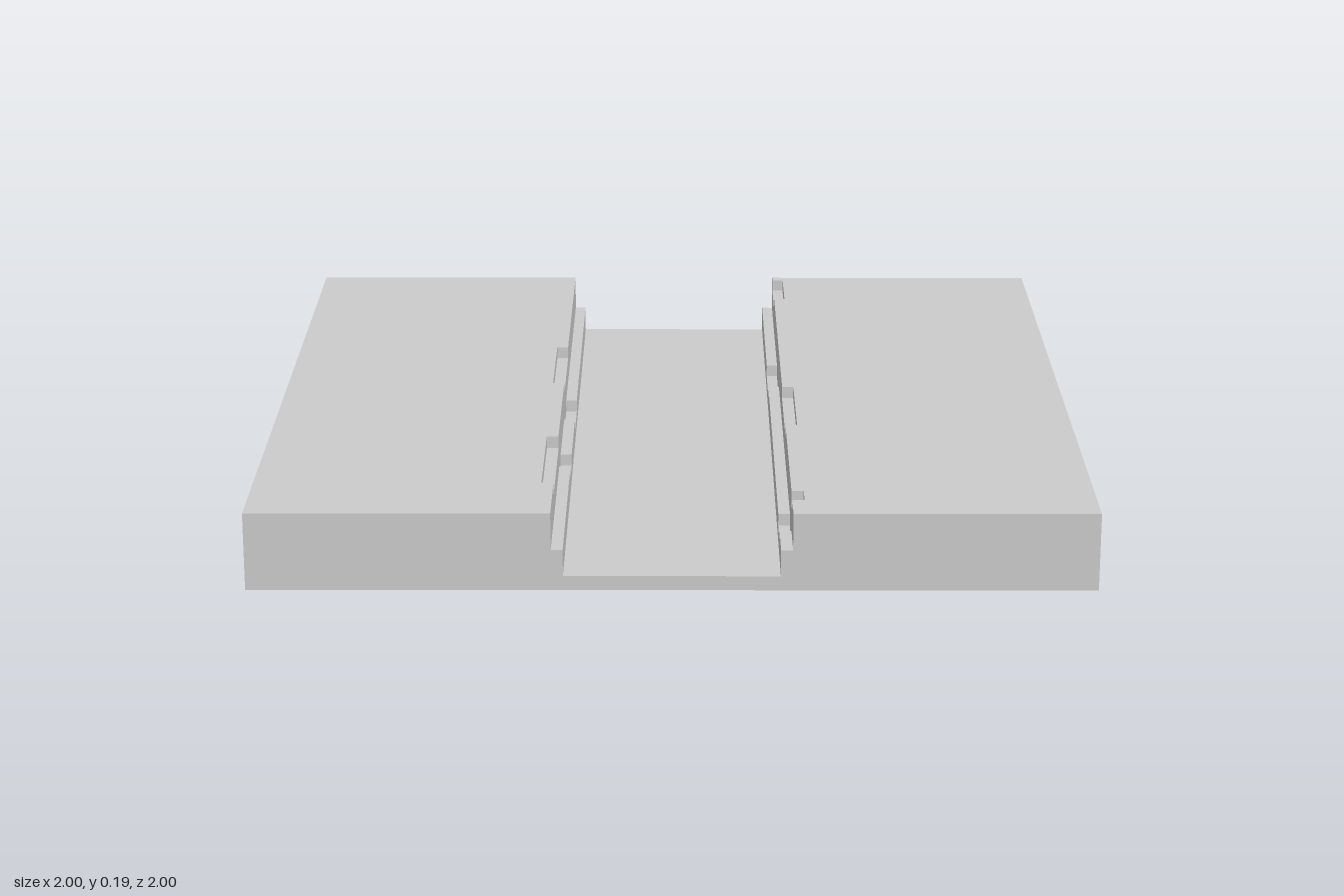
import * as THREE from 'three';

const material = new THREE.MeshStandardMaterial({ color: 0xcccccc, flatShading: true });

// Heights of the channel floor, ledge and bank top, and depth of the notches
const FLOOR = 0.035, LEDGE = 0.1, TOP = 0.19, DROP = 0.03;
const LEDGE_X = 0.255, WALL_X = 0.283, NOTCH_X = 0.312;

// Notch spans along z
const banks = [
  { name: 'leftBank', side: 1,
    upper: [[-0.97, -0.78], [0.03, 0.345], [0.84, 0.905]],
    lower: [[-0.44, -0.25], [0.75, 0.87]] },
  { name: 'rightBank', side: -1,
    upper: [[-0.315, 0], [0.435, 0.78]],
    lower: [[-0.13, 0.03], [0.31, 0.405]] },
];

// One horizontal layer of a bank: plan outline with notches in its inner edge
function layer(name, side, y0, y1, innerX, notches = [], notchX = innerX) {
  const plan = [[1, -1], [innerX, -1]];
  for (const [a, b] of notches) plan.push([innerX, a], [notchX, a], [notchX, b], [innerX, b]);
  plan.push([innerX, 1], [1, 1]);
  const shape = new THREE.Shape(plan.map(([x, z]) => new THREE.Vector2(side * x, -z)));
  const geometry = new THREE.ExtrudeGeometry(shape, { depth: y1 - y0, bevelEnabled: false });
  geometry.rotateX(-Math.PI / 2).translate(0, y0, 0);
  const mesh = new THREE.Mesh(geometry, material);
  mesh.name = name;
  return mesh;
}

export function createModel() {
  const model = new THREE.Group();
  model.name = 'channelTile';

  // Base slab, whose top is the channel floor
  const base = new THREE.Mesh(new THREE.BoxGeometry(2, FLOOR, 2), material);
  base.position.y = FLOOR / 2;
  base.name = 'channelFloor';
  model.add(base);

  // Stepped banks on both sides of the channel
  for (const { name, side, upper, lower } of banks) {
    const bank = new THREE.Group();
    bank.name = name;
    bank.add(
      layer('ledgeFoot', side, FLOOR, LEDGE - DROP, LEDGE_X),
      layer('notchedLedge', side, LEDGE - DROP, LEDGE, LEDGE_X, lower, WALL_X),
      layer('bankWall', side, LEDGE, TOP - DROP, WALL_X),
      layer('notchedTop', side, TOP - DROP, TOP, WALL_X, upper, NOTCH_X),
    );
    model.add(bank);
  }
  return model;
}
